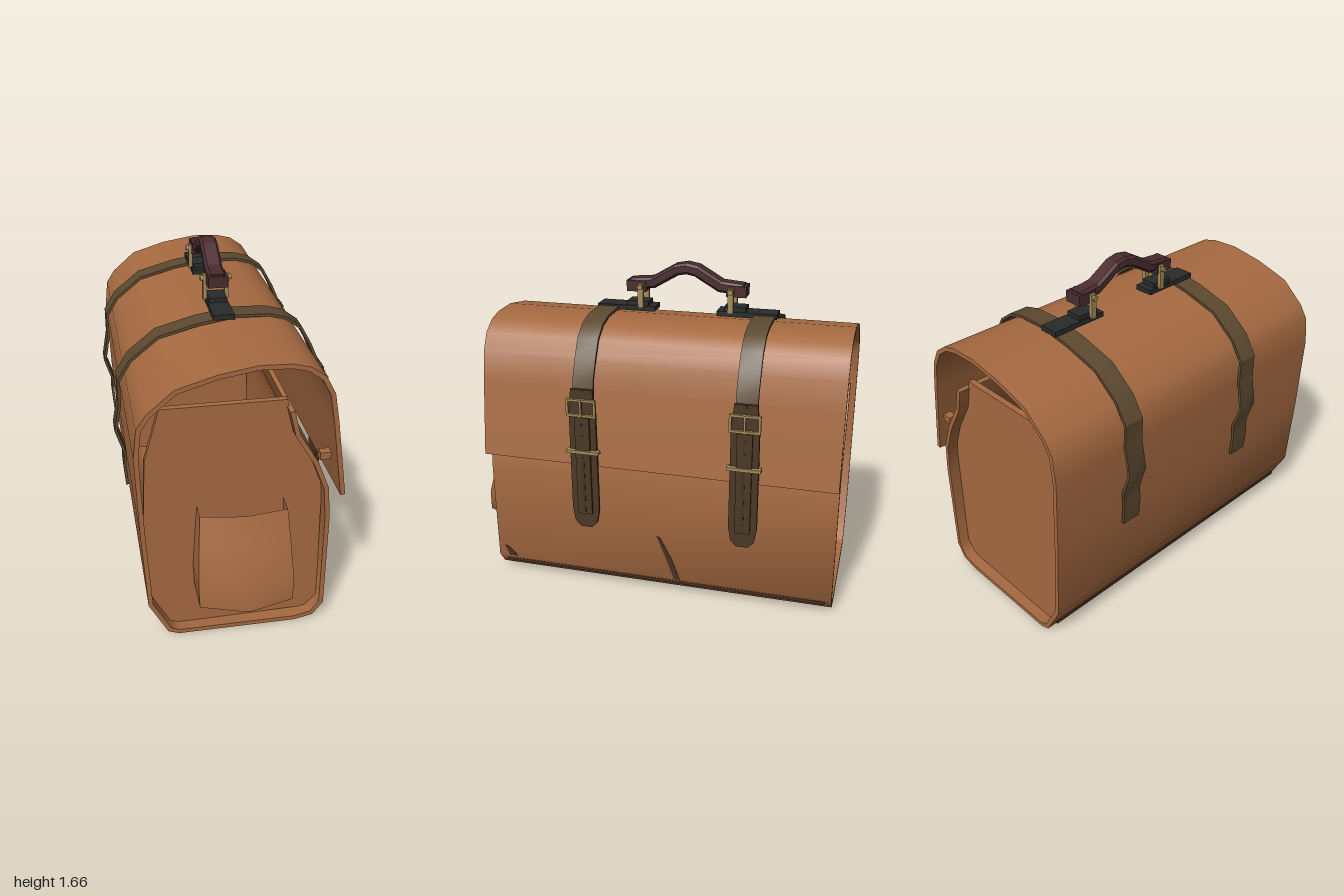
import * as THREE from 'three';
import { toCreasedNormals } from 'three/addons/utils/BufferGeometryUtils.js';

const material = (name, color, side = THREE.FrontSide) => {
  const m = new THREE.MeshStandardMaterial({ color, side });
  m.name = name;
  return m;
};

// Outline of a band: an outer path plus its copy offset to the right-hand side
function band(points, t) {
  const p = points.map(([x, y]) => new THREE.Vector2(x, y));
  const normal = (a, b) => new THREE.Vector2(b.y - a.y, a.x - b.x).normalize();
  const inner = p.map((q, i) => {
    const n0 = normal(p[Math.max(i - 1, 0)], p[Math.max(i, 1)]);
    const n1 = i < p.length - 1 ? normal(q, p[i + 1]) : n0;
    const n = n0.clone().add(n1).normalize();
    return q.clone().addScaledVector(n, t / Math.max(n.dot(n1), 0.5));
  });
  return new THREE.Shape([...p, ...inner.reverse()]);
}

// Extrusion centred on its depth; 'across' turns a (depth, height) profile to run along x
function extrude(shape, depth, across = false, bevel = 0) {
  const g = new THREE.ExtrudeGeometry(shape, {
    depth: depth - 2 * bevel, curveSegments: 6, bevelEnabled: bevel > 0,
    bevelSize: bevel, bevelThickness: bevel, bevelOffset: -bevel, bevelSegments: 1,
  });
  g.translate(0, 0, -(depth - 2 * bevel) / 2);
  if (across) g.rotateY(-Math.PI / 2);
  return g;
}

const polygon = (pts) => new THREE.Shape(pts.map(([x, y]) => new THREE.Vector2(x, y)));

function frameShape(w, h, t) {
  const rect = (a, b) => [[-a, -b], [a, -b], [a, b], [-a, b]];
  const s = polygon(rect(w / 2, h / 2));
  s.holes.push(polygon(rect(w / 2 - t, h / 2 - t).reverse()));
  return s;
}

export function createModel() {
  const leather = material('tan leather', 0xa66a41);
  const pocketLeather = material('tan pocket leather', 0xa66a41, THREE.DoubleSide);
  const strapMat = material('olive brown strap', 0x5c4930);
  const tongueMat = material('dark strap', 0x4a3826);
  const scuffMat = material('dark scuff', 0x4a2f20);
  const handleMat = material('maroon handle', 0x4a2c2f);
  const padMat = material('black leather', 0x292b2b);
  const brass = material('brass', 0xa38b56);

  const model = new THREE.Group();
  const bag = new THREE.Group();
  bag.name = 'satchel';
  bag.rotation.y = 0.88;
  model.add(bag);

  const add = (name, geo, mat, x = 0, y = 0, z = 0, parent = bag) => {
    const m = new THREE.Mesh(geo, mat);
    m.name = name;
    m.position.set(x, y, z);
    parent.add(m);
    return m;
  };
  const box = (w, h, d) => new THREE.BoxGeometry(w, h, d);

  // Leather shell: front, bottom, back and the flap folded over the top
  const shell = [
    [0.22, 1.17], [0.25, 1.05], [0.34, 0.9], [0.395, 0.76], [0.41, 0.6], [0.41, 0.09],
    [0.36, 0.02], [0.27, 0], [-0.3, 0], [-0.35, 0.02], [-0.44, 0.19], [-0.465, 0.6],
    [-0.48, 1.0], [-0.465, 1.14], [-0.42, 1.21], [-0.3, 1.315], [-0.12, 1.37], [0.06, 1.4],
    [0.2, 1.395], [0.28, 1.375], [0.35, 1.325], [0.395, 1.24], [0.42, 1.1], [0.475, 0.715],
  ];
  add('shellAndFlap', toCreasedNormals(extrude(band(shell, 0.022), 1.79, true), 0.75), leather);

  // Recessed end panels, latch tabs and bottom welts
  const panel = polygon([
    [0.2, 1.2], [0.235, 1.04], [0.325, 0.88], [0.38, 0.74], [0.39, 0.1], [0.33, 0.03],
    [-0.33, 0.02], [-0.42, 0.2], [-0.445, 0.6], [-0.43, 0.95], [-0.36, 1.2],
  ]);
  for (const s of [-1, 1]) {
    add('endPanel', extrude(panel, 0.03, true), leather, s * 0.825);
    add('latchTab', box(0.04, 0.035, 0.05), leather, s * 0.86, 0.92, 0.375);
    add('bottomWelt', box(1.72, 0.015, 0.012), scuffMat, 0, 0.06, s > 0 ? 0.39 : -0.376);
  }

  // Open side pocket, lofted from rows of (height, outward reach, half width)
  const rows = [[0.23, 0.2, 0.2], [0.25, 0.245, 0.215], [0.36, 0.24, 0.22], [0.55, 0.17, 0.21], [0.69, 0.12, 0.2]];
  const section = [[0, -1], [0.72, -1], [1, 0], [0.78, 1], [0, 1]];
  const pos = [], idx = [], n = section.length;
  for (const [y, reach, half] of rows)
    for (const [o, w] of section) pos.push(-0.835 - o * reach, y, w * half);
  for (let r = 0; r < rows.length - 1; r++)
    for (let i = 0; i < n - 1; i++) {
      const a = r * n + i, b = a + 1, c = a + n, d = c + 1;
      idx.push(a, b, c, b, d, c);
    }
  for (let i = 1; i < n - 1; i++) idx.push(0, i + 1, i);
  const pocket = new THREE.BufferGeometry();
  pocket.setAttribute('position', new THREE.Float32BufferAttribute(pos, 3));
  pocket.setIndex(idx);
  add('sidePocket', toCreasedNormals(pocket, 0.6), pocketLeather);

  // Straps over the top with a buckled tongue in front
  const strapPath = [
    [-0.487, 0.55], [-0.495, 0.66], [-0.49, 0.73], [-0.53, 0.86], [-0.505, 1.0], [-0.505, 1.13],
    [-0.445, 1.23], [-0.31, 1.34], [-0.12, 1.393], [0.06, 1.422], [0.21, 1.418], [0.3, 1.395],
    [0.375, 1.34], [0.425, 1.25], [0.46, 1.17], [0.48, 1.06], [0.485, 0.98],
  ];
  const strapGeo = toCreasedNormals(extrude(band(strapPath, 0.014), 0.105, true), 0.5);
  const tongueGeo = extrude(polygon([
    [-0.055, 1.12], [-0.068, 1.0], [-0.07, 0.48], [-0.058, 0.41], [-0.03, 0.38],
    [0.03, 0.38], [0.058, 0.41], [0.07, 0.48], [0.068, 1.0], [0.055, 1.12],
  ]), 0.016);
  for (const x of [-0.35, 0.45]) {
    const g = new THREE.Group();
    g.name = 'strap';
    g.position.x = x;
    bag.add(g);
    add('strapBand', strapGeo, strapMat, 0, 0, 0, g);
    add('strapTongue', tongueGeo, tongueMat, 0, 0, 0.487, g);
    add('tongueOverlay', box(0.075, 0.52, 0.014), tongueMat, 0, 0.72, 0.5, g);
    add('tongueSlot', box(0.012, 0.3, 0.004), scuffMat, 0, 0.62, 0.508, g);
    add('buckleFrame', extrude(frameShape(0.15, 0.09, 0.012), 0.014), brass, 0, 1.03, 0.507, g);
    add('bucklePin', box(0.01, 0.09, 0.012), brass, 0, 1.03, 0.513, g);
    add('keeperBar', box(0.165, 0.016, 0.035), brass, 0, 0.8, 0.5, g);
    // Punched holes
    for (const y of [0.88, 0.94, 1.11])
      add('strapHole', box(0.012, 0.016, 0.006), scuffMat, 0, y, y > 1 ? 0.495 : 0.507, g);
  }

  // Handle with brass rings and black mounting pads
  const handle = new THREE.Group();
  handle.name = 'handle';
  handle.position.x = 0.05;
  bag.add(handle);
  const grip = [
    [-0.29, 1.565], [-0.18, 1.575], [-0.06, 1.645], [0, 1.656],
    [0.06, 1.645], [0.18, 1.575], [0.29, 1.565],
  ];
  add('grip', extrude(band(grip, 0.055), 0.085, false, 0.012), handleMat, 0, 0, 0, handle);
  for (const s of [-1, 1]) {
    add('gripEnd', box(0.1, 0.055, 0.095), handleMat, s * 0.255, 1.53, 0, handle);
    add('ring', extrude(frameShape(0.125, 0.125, 0.02), 0.028, true), brass, s * 0.23, 1.485, 0, handle);
    add('ringPin', new THREE.CylinderGeometry(0.014, 0.014, 0.15, 8).rotateX(Math.PI / 2), brass,
      s * 0.23, 1.53, 0, handle);
    add('mountingPad', box(0.3, 0.025, 0.1), padMat, s * 0.31, 1.417, 0, handle);
    add('padLoop', box(0.11, 0.03, 0.085), padMat, s * 0.25, 1.437, 0, handle);
  }

  // Scuff marks low on the front
  add('scuff', extrude(polygon([
    [-0.005, 0.325], [0.012, 0.32], [0.075, 0.2], [0.115, 0.09], [0.085, 0.09], [0.045, 0.2],
  ]), 0.008), scuffMat, 0, 0, 0.409);
  add('cornerScuff', extrude(polygon([
    [-0.86, 0.15], [-0.84, 0.145], [-0.79, 0.095], [-0.835, 0.09],
  ]), 0.008), scuffMat, 0, 0, 0.409);

  return model;
}
